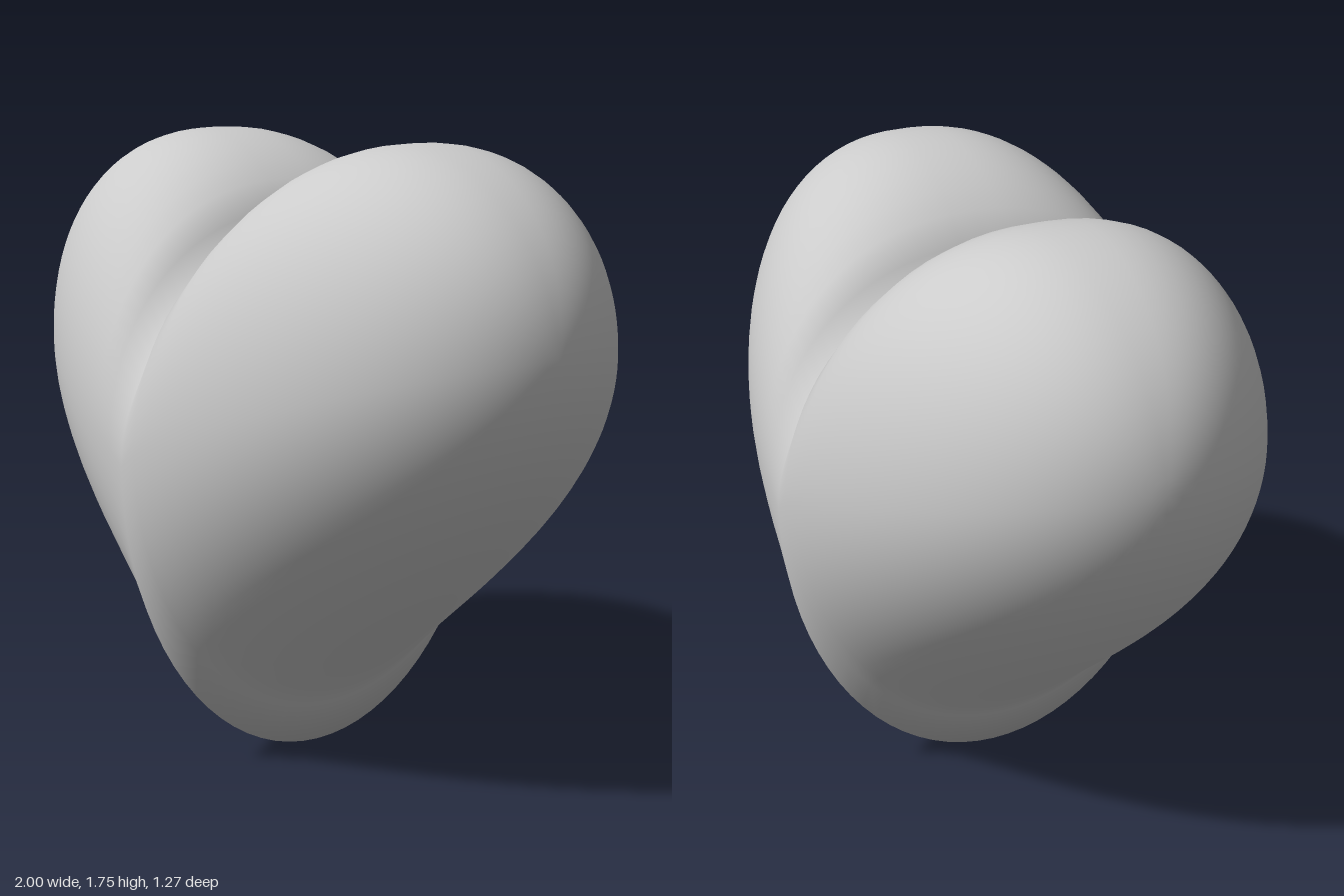
import * as THREE from 'three';
import { mergeVertices } from 'three/addons/utils/BufferGeometryUtils.js';

// Height of the centre line, half height and widest level of the slice at distance a from the middle
function slice(a) {
  const round = Math.sqrt(Math.max(0, 1 - a * a));
  const mid = 0.685 + 0.575 * (Math.sqrt(a) + 0.28 * a * (1 - a));
  const half = 0.685 * round * (1 + 0.16 * Math.sqrt(a) * Math.pow(1 - a, 1.5));
  const widest = 0.9 + 0.36 * Math.pow(a, 0.8);
  return {
    top: mid + half,
    bottom: mid - half,
    widest: THREE.MathUtils.clamp(widest, mid - half, mid + half),
    depth: 0.637 * round,
  };
}

// A sphere with its poles on the x axis, each slice reshaped into a notched, pointed heart
function heartGeometry() {
  let geometry = new THREE.SphereGeometry(1, 80, 48);
  geometry.rotateZ(-Math.PI / 2);
  geometry.deleteAttribute('normal');
  geometry.deleteAttribute('uv');
  const p = geometry.attributes.position;
  for (let i = 0; i < p.count; i++) {
    const x = Math.abs(p.getX(i)) < 1e-6 ? 0 : p.getX(i);
    const a = Math.min(1, Math.abs(x));
    const r = Math.hypot(p.getY(i), p.getZ(i));
    const s = r > 1e-6 ? p.getY(i) / r : 0;
    const c = r > 1e-6 ? p.getZ(i) / r : 0;
    const { top, bottom, widest, depth } = slice(a);
    const y = widest + s * (s > 0 ? top - widest : widest - bottom);
    // the upper half is slightly fuller than an ellipse
    const fullness = s > 0 ? 0.87 : 1;
    const z = Math.sign(c) * depth * Math.pow(Math.abs(c), fullness);
    p.setXYZ(i, x, y, z);
  }
  geometry = mergeVertices(geometry, 1e-5);
  geometry.computeVertexNormals();
  return geometry;
}

export function createModel() {
  const model = new THREE.Group();
  model.name = 'heart';
  const body = new THREE.Mesh(heartGeometry(), new THREE.MeshStandardMaterial({ color: 0xcccccc }));
  body.name = 'heartBody';
  model.add(body);
  return model;
}
